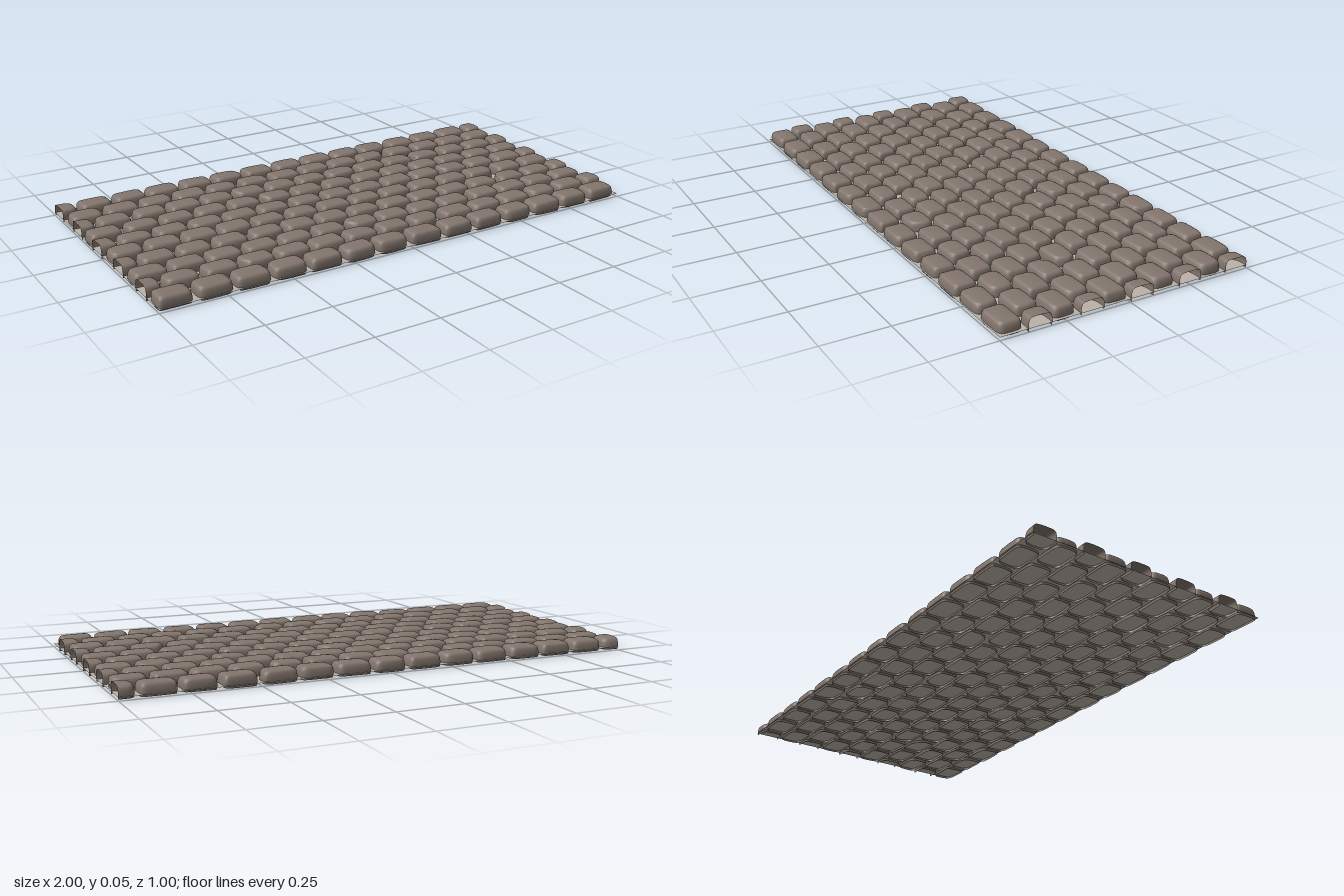
import * as THREE from 'three';

const ROWS = 10, PER_ROW = 14, PITCH_X = 2 / PER_ROW, PITCH_Z = 1 / ROWS, SIDES = 32;

// Stone cross-sections from the open rim to the crown: [scale, height]
const PROFILE = [[0.96, 0.004], [0.99, 0.012], [1, 0.022], [0.98, 0.032], [0.93, 0.041], [0.85, 0.046], [0.72, 0.049], [0.4, 0.0505], [0, 0.051]];

// Chipped corners: [row, stone, x side, z side, amount]
const CHIPS = [
  [0, 5, 1, -1, 0.2], [1, 4, 1, 1, 0.2], [1, 9, 1, -1, 0.16], [1, 9, 1, 1, 0.3], [2, 5, -1, 1, 0.25],
  [3, 7, 1, -1, 0.35], [3, 5, -1, 1, 0.25], [3, 4, 1, -1, 0.2], [4, 11, -1, 1, 0.2], [5, 11, 1, 1, 0.3],
  [5, 11, 1, -1, 0.2], [6, 12, -1, -1, 0.4], [7, 6, -1, 1, 0.35], [7, 6, -1, -1, 0.2], [8, 8, 1, 1, 0.35],
  [8, 3, -1, 1, 0.25], [9, 6, 1, 1, 0.2], [6, 7, 1, -1, 0.2], [0, 10, 1, 1, 0.2], [8, 6, 1, -1, 0.2],
];

function seeded(seed) {
  return () => {
    seed = (seed * 16807) % 2147483647;
    return seed / 2147483647;
  };
}

// Domed shell with an open underside, cut off cleanly at the slab ends
function stoneGeometry(row, k, cx, cz) {
  const rand = seeded(1009 + row * 977 + (k % PER_ROW) * 131);
  for (let i = 0; i < 4; i++) rand();
  const jitter = (a) => (rand() * 2 - 1) * a;
  const halfX = 0.0645 + jitter(0.002), halfZ = 0.0455 + jitter(0.0015);
  const tiltX = jitter(0.025), tiltZ = jitter(0.03), lift = jitter(0.0015);
  const power = 2 / (5.5 + jitter(1.5));
  const phase = rand() * 6.28, rim = rand() * 0.004;
  const shiftX = jitter(0.002);
  const corner = {};
  for (const sx of [-1, 1]) for (const sz of [-1, 1]) corner[sx + ',' + sz] = rand() * 0.07;
  for (const [r, s, sx, sz, amount] of CHIPS) if (r === row && s === k) corner[sx + ',' + sz] = amount;

  const positions = [], indices = [];
  PROFILE.forEach(([scale, h], level) => {
    for (let i = 0; i < SIDES; i++) {
      const a = (i / SIDES) * Math.PI * 2, c = Math.cos(a), s = Math.sin(a);
      let u = Math.sign(c) * Math.abs(c) ** power;
      let v = Math.sign(s) * Math.abs(s) ** power;
      const cut = corner[(c < 0 ? -1 : 1) + ',' + (s < 0 ? -1 : 1)] * Math.abs(u * v);
      const wave = 1 + 0.012 * Math.sin(3 * a + phase + level * 0.4);
      u *= (1 - cut) * wave;
      v *= (1 - cut * 0.4) * wave;
      // The bevel stays equally wide on both axes
      const inset = (1 - scale) * halfZ;
      const x = u * (scale === 0 ? 0 : halfX - inset) + shiftX;
      const z = v * (halfZ - inset);
      const sag = level === 0 ? -rim * (0.5 + 0.5 * Math.cos(2 * a + phase)) : 0;
      const y = h + sag + (level > 1 ? lift + x * tiltX + z * tiltZ : 0);
      positions.push(THREE.MathUtils.clamp(cx + x, -1, 1), y, THREE.MathUtils.clamp(cz + z, -0.5, 0.5));
    }
  });
  const outside = (i) => Math.abs(positions[i * 3]) >= 1;
  const addFace = (a, b, c) => {
    if (!(outside(a) && outside(b) && outside(c))) indices.push(a, b, c);
  };
  for (let l = 0; l < PROFILE.length - 1; l++) {
    for (let i = 0; i < SIDES; i++) {
      const j = (i + 1) % SIDES;
      const a = l * SIDES + i, b = l * SIDES + j, c = a + SIDES, d = b + SIDES;
      addFace(a, c, b);
      if (l < PROFILE.length - 2) addFace(b, c, d);
    }
  }
  const geometry = new THREE.BufferGeometry();
  geometry.setAttribute('position', new THREE.Float32BufferAttribute(positions, 3));
  geometry.setIndex(indices);
  geometry.computeVertexNormals();
  return geometry;
}

export function createModel() {
  const model = new THREE.Group();
  model.name = 'cobblestonePaving';
  const stone = new THREE.MeshStandardMaterial({ color: 0x82756d, side: THREE.DoubleSide });
  stone.name = 'brown stone';
  const mortar = new THREE.MeshStandardMaterial({ color: 0xbab2a8, side: THREE.DoubleSide });
  mortar.name = 'pale mortar';

  // Mortar bed
  const bed = new THREE.Mesh(new THREE.PlaneGeometry(2, 1).rotateX(-Math.PI / 2), mortar);
  bed.name = 'mortarBed';
  bed.position.y = 0.012;
  model.add(bed);

  // Running-bond rows: even rows begin and end with a half stone
  for (let row = 0; row < ROWS; row++) {
    const group = new THREE.Group();
    group.name = 'stoneRow' + (row + 1);
    const odd = row % 2;
    const cz = -0.5 + (row + 0.5) * PITCH_Z;
    for (let k = 0; k < PER_ROW + 1 - odd; k++) {
      const cx = -1 + (k + odd * 0.5) * PITCH_X - (row > 2 ? 0.004 : 0) * odd;
      const mesh = new THREE.Mesh(stoneGeometry(row, k, cx, cz), stone);
      mesh.name = 'stone';
      group.add(mesh);
    }
    model.add(group);
  }
  return model;
}
